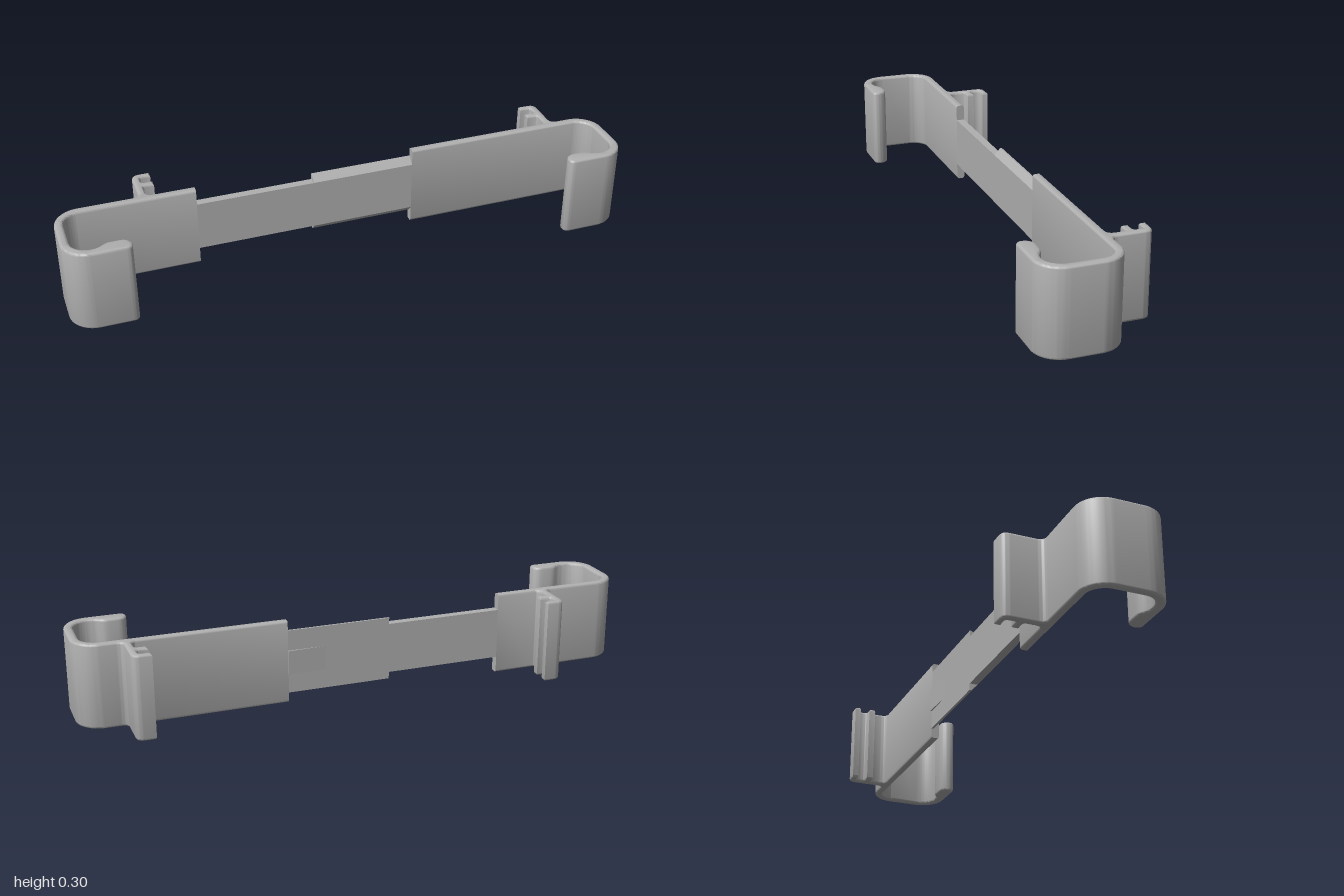
import * as THREE from 'three';
import { toCreasedNormals } from 'three/addons/utils/BufferGeometryUtils.js';

const HEIGHT = 0.297, BEVEL = 0.008;
const BACK = 0.072, FRONT = 0.043; // plate faces, measured towards the back

// Outline seen from above: plate, clip and hook in one run (y points to the back)
function armShape(end, stem) {
  const inner = stem - 0.026, tip = stem - 0.065;
  const s = new THREE.Shape();
  s.moveTo(end, FRONT);
  // front of plate, then inside of the hook
  s.lineTo(0.91, FRONT);
  s.absarc(0.91, FRONT - 0.06, 0.06, Math.PI / 2, 0, true);
  s.lineTo(0.97, -0.12);
  s.absarc(0.91, -0.12, 0.06, 0, -Math.PI / 2, true);
  // thickened lip
  s.bezierCurveTo(0.87, -0.18, 0.875, -0.158, 0.84, -0.158);
  s.lineTo(0.81, -0.158);
  s.quadraticCurveTo(0.78, -0.16, 0.777, -0.19);
  s.quadraticCurveTo(0.777, -0.213, 0.8, -0.213);
  // outside of the hook
  s.lineTo(0.91, -0.213);
  s.absarc(0.91, -0.123, 0.09, -Math.PI / 2, 0, false);
  s.lineTo(1, BACK - 0.09);
  s.absarc(0.91, BACK - 0.09, 0.09, 0, Math.PI / 2, false);
  // clip stem with two inward fingers
  s.lineTo(stem + 0.022, BACK);
  s.quadraticCurveTo(stem, BACK, stem, BACK + 0.022);
  s.lineTo(stem, 0.185);
  s.quadraticCurveTo(stem, 0.214, stem - 0.029, 0.214);
  s.lineTo(tip, 0.214);
  s.lineTo(tip, 0.192);
  s.lineTo(inner - 0.01, 0.192);
  s.quadraticCurveTo(inner, 0.192, inner, 0.182);
  s.lineTo(inner, 0.166);
  s.quadraticCurveTo(inner, 0.156, inner - 0.01, 0.156);
  s.lineTo(tip, 0.156);
  s.lineTo(tip, 0.132);
  s.lineTo(inner - 0.01, 0.132);
  s.quadraticCurveTo(inner, 0.132, inner, 0.122);
  s.lineTo(inner, BACK + 0.022);
  s.quadraticCurveTo(inner, BACK, inner - 0.022, BACK);
  s.lineTo(end, BACK);
  s.closePath();
  return s;
}

function armGeometry(end, stem) {
  const g = new THREE.ExtrudeGeometry(armShape(end, stem), {
    depth: HEIGHT - 2 * BEVEL, curveSegments: 10,
    bevelEnabled: true, bevelSize: BEVEL, bevelOffset: -BEVEL, bevelThickness: BEVEL, bevelSegments: 3,
  });
  g.translate(0, 0, BEVEL);
  g.rotateX(-Math.PI / 2);
  // keep the inner end of the plate square
  const p = g.attributes.position;
  for (let i = 0; i < p.count; i++) if (p.getX(i) < end + BEVEL + 0.001) p.setX(i, end);
  return toCreasedNormals(g, 0.6);
}

function prism(points, depth) {
  const shape = new THREE.Shape(points.map(([x, y]) => new THREE.Vector2(x, y)));
  return new THREE.ExtrudeGeometry(shape, { depth, bevelEnabled: false });
}

export function createModel() {
  const model = new THREE.Group();
  const grey = new THREE.MeshStandardMaterial({ color: 0xb0b0b0 });
  grey.name = 'plain grey';
  const add = (name, geometry) => {
    const mesh = new THREE.Mesh(geometry, grey);
    mesh.name = name;
    model.add(mesh);
    return mesh;
  };

  // Hooked arms: the right one is turned over about the front axis
  add('leftArm', armGeometry(0.28, 0.84));
  const right = add('rightArm', armGeometry(0.51, 0.70));
  right.rotation.z = Math.PI;
  right.position.y = HEIGHT;

  // Narrow strip between the arms
  const strip = new THREE.BoxGeometry(0.42, 0.18, BACK - FRONT);
  strip.translate(-0.30, 0.15, -(BACK + FRONT) / 2);
  add('centreStrip', strip);

  // Dovetail section with sloped upper and lower edges
  const dovetail = prism([
    [FRONT, 0.06], [0.065, 0.036], [BACK, 0.036],
    [BACK, 0.263], [0.065, 0.263], [FRONT, 0.24],
  ], 0.37);
  dovetail.rotateY(Math.PI / 2);
  dovetail.translate(-0.09, 0, 0);
  add('dovetail', dovetail);

  // Shallow locking ramp on the back
  const ramp = prism([[0.1, BACK - 0.002], [0.28, BACK - 0.002], [0.28, BACK + 0.006]], 0.085);
  ramp.rotateX(-Math.PI / 2);
  ramp.translate(0, 0.105, 0);
  add('lockingRamp', ramp);

  return model;
}
